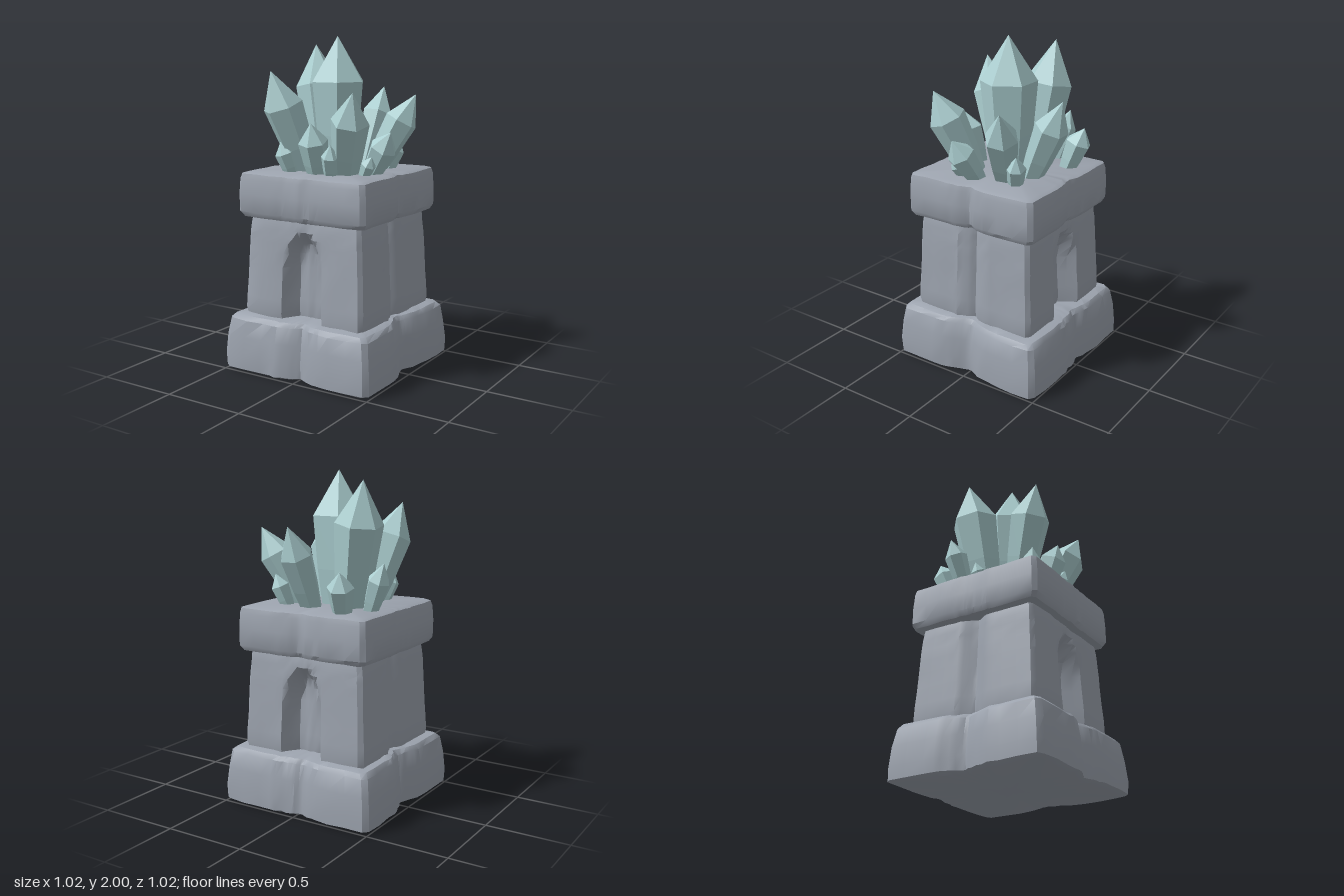
import * as THREE from 'three';
import { toCreasedNormals } from 'three/addons/utils/BufferGeometryUtils.js';

const { smoothstep } = THREE.MathUtils;
const half = [0.045, 0.1, 0.18, 0.26, 0.34, 0.48, 0.72, 0.94];
const STEPS = [...half.map(u => -u).reverse(), 0, ...half];

// Weathered square block: horizontal rings [y, halfWidth]; inset(side, u, y) cuts
// seams and niches. Sides: 0 front, 1 right (+x), 2 back, 3 left (-x).
function block(rings, inset, rough, seed) {
  const rand = () => {
    seed = (seed * 16807) % 2147483647;
    return seed / 2147483647 - 0.5;
  };
  const pos = [], idx = [], n = STEPS.length * 4;
  // One worn offset per column, so the faces undulate gently
  const wear = Array.from({ length: n }, () => rand() * rough);
  for (const [y, h] of rings) {
    for (let s = 0; s < 4; s++) {
      STEPS.forEach((u, j) => {
        const a = u * h;
        const d = h - inset(s, u, y) + wear[s * STEPS.length + j] + rand() * rough * 0.5;
        const [x, z] = [[a, d], [d, -a], [-a, -d], [-d, a]][s];
        pos.push(x, y + rand() * rough * 0.6, z);
      });
    }
  }
  for (let i = 0; i < rings.length - 1; i++) {
    for (let j = 0; j < n; j++) {
      const a = i * n + j, b = i * n + (j + 1) % n;
      idx.push(a, b, b + n, a, b + n, a + n);
    }
  }
  // Bottom and top faces
  const last = (rings.length - 1) * n, c = rings.length * n;
  pos.push(0, rings[0][0], 0, 0, rings[rings.length - 1][0], 0);
  for (let j = 0; j < n; j++) {
    const k = (j + 1) % n;
    idx.push(c, k, j, c + 1, last + j, last + k);
  }
  const geo = new THREE.BufferGeometry();
  geo.setAttribute('position', new THREE.Float32BufferAttribute(pos, 3));
  geo.setIndex(idx);
  return toCreasedNormals(geo, 0.6);
}

// Rounded V-shaped joint between two stones
const seam = (u, at, width, depth) => depth * Math.max(0, 1 - Math.abs(u - at) / width) ** 1.4;

// Six-sided crystal from a foot to a tip, widest at the shoulder
function crystal(foot, tip, r, turn) {
  const a = new THREE.Vector3(...foot), dir = new THREE.Vector3(...tip).sub(a);
  const len = dir.length();
  const profile = [[0.6, 0], [0.82, 0.3], [1, 0.68], [0, 1]]
    .map(([w, t]) => new THREE.Vector2(w * r, t * len));
  const geo = new THREE.LatheGeometry(profile, 6, turn).toNonIndexed();
  geo.computeVertexNormals();
  geo.applyQuaternion(new THREE.Quaternion().setFromUnitVectors(
    new THREE.Vector3(0, 1, 0), dir.normalize()));
  geo.translate(a.x, a.y, a.z);
  return geo;
}

export function createModel() {
  const model = new THREE.Group();
  const stone = new THREE.MeshStandardMaterial({ color: 0x9da4af });
  stone.name = 'grey stone';
  const ice = new THREE.MeshStandardMaterial({ color: 0xaccfd1 });
  ice.name = 'pale crystal';
  const add = (parent, name, geo, mat) => {
    const mesh = new THREE.Mesh(geo, mat);
    mesh.name = name;
    parent.add(mesh);
  };

  // Wide base of four butted stones
  add(model, 'base', block(
    [[0.005, 0.47], [0.02, 0.503], [0.1, 0.505], [0.22, 0.495], [0.32, 0.478], [0.345, 0.455], [0.355, 0.4]],
    (s, u) => seam(u, [0.05, 0, 0.08, 0][s], [0.28, 0.4, 0.35, 0.4][s], [0.05, 0.06, 0.03, 0.06][s]),
    0.01, 11), stone);

  // Shaft: niche front and back, joint on both sides
  add(model, 'shaft', block(
    [[0.33, 0.405], [0.38, 0.413], [0.46, 0.41], [0.56, 0.404], [0.66, 0.4], [0.74, 0.396],
      [0.8, 0.393], [0.84, 0.39], [0.88, 0.387], [0.92, 0.383], [0.96, 0.375]],
    (s, u, y) => {
      if (s % 2) return seam(u, 0, 0.25, 0.045);
      const e = (u / 0.29) ** 2 + (Math.max(0, y - 0.62) / 0.24) ** 2;
      return 0.1 * (1 - smoothstep(e, 0.35, 1.3));
    }, 0.008, 29), stone);

  // Cap slab with joints on the right and back
  add(model, 'cap', block(
    [[0.935, 0.38], [0.945, 0.42], [0.975, 0.438], [1.08, 0.438], [1.17, 0.433], [1.2, 0.425], [1.21, 0.4]],
    (s, u) => seam(u, 0, 0.22, [0, 0.03, 0.025, 0.006][s]),
    0.007, 47), stone);

  // Crystal cluster: [foot, tip, radius]
  const cluster = new THREE.Group();
  cluster.name = 'crystalCluster';
  model.add(cluster);
  [
    [[0, 1.17, 0], [0, 2, 0.01], 0.17],
    [[-0.14, 1.17, -0.08], [-0.26, 1.95, -0.15], 0.145],
    [[-0.13, 1.17, 0.13], [-0.25, 1.8, 0.34], 0.122],
    [[0.06, 1.17, -0.18], [0.08, 1.69, -0.41], 0.1],
    [[0.17, 1.17, -0.09], [0.41, 1.66, -0.21], 0.1],
    [[0.14, 1.17, 0.15], [0.3, 1.69, 0.33], 0.112],
    [[0.24, 1.17, 0.05], [0.42, 1.46, 0.11], 0.082],
    [[0, 1.17, 0.22], [0.02, 1.51, 0.33], 0.088],
    [[-0.2, 1.17, -0.27], [-0.24, 1.45, -0.37], 0.08],
    [[-0.29, 1.17, -0.13], [-0.41, 1.49, -0.17], 0.068],
    [[-0.17, 1.17, 0.23], [-0.22, 1.39, 0.29], 0.06],
    [[0.1, 1.17, 0.24], [0.14, 1.39, 0.31], 0.055],
    [[0.22, 1.17, -0.19], [0.29, 1.39, -0.24], 0.06],
    [[0.25, 1.17, 0.14], [0.33, 1.32, 0.17], 0.045],
    [[-0.25, 1.17, -0.03], [-0.32, 1.34, -0.05], 0.045],
  ].forEach(([foot, tip, r], i) =>
    add(cluster, i ? 'crystal' + i : 'mainCrystal', crystal(foot, tip, r, Math.PI / 6 + i * 0.7), ice));

  return model;
}
